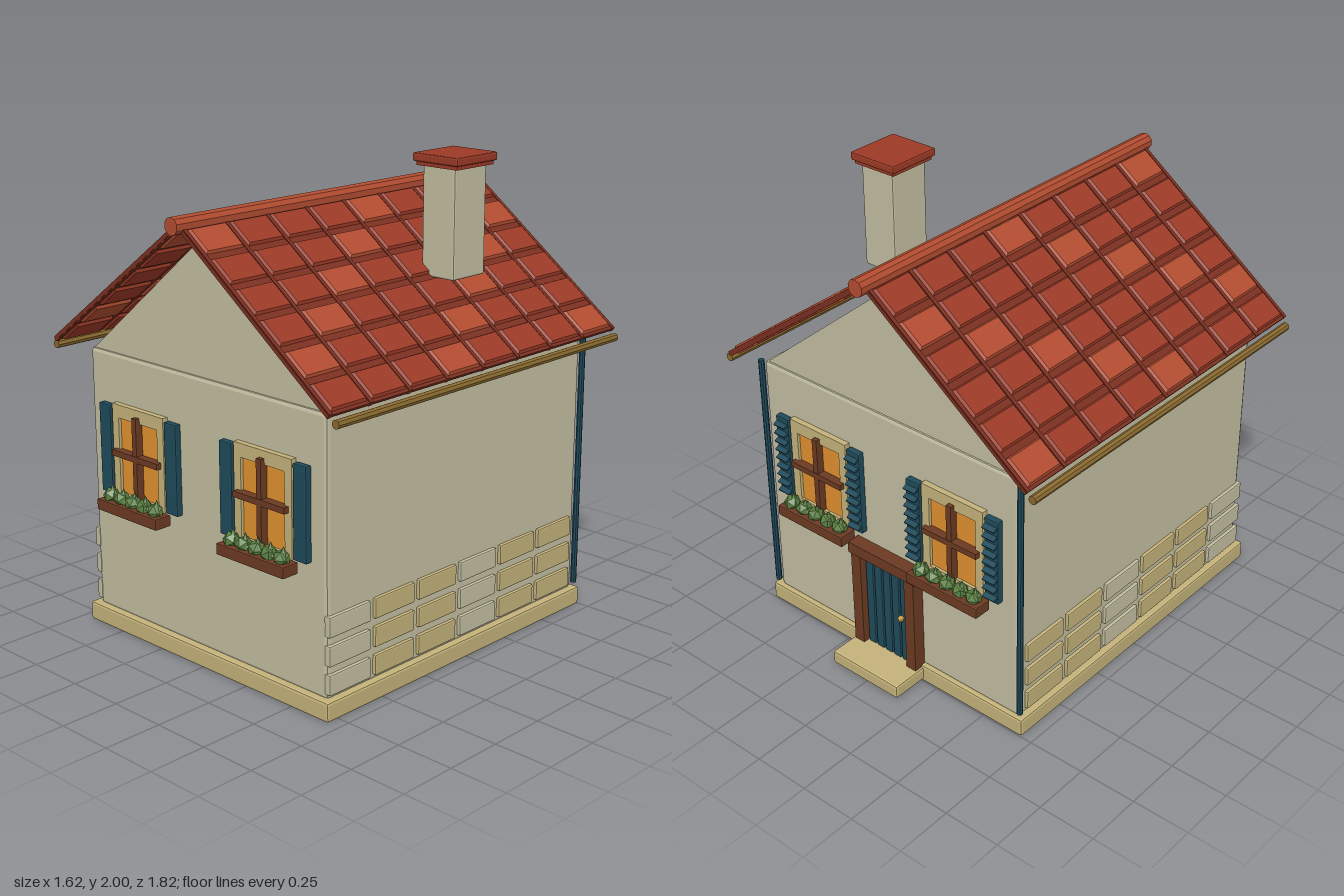
import * as THREE from 'three';
import { RoundedBoxGeometry } from 'three/addons/geometries/RoundedBoxGeometry.js';

const mat = (color) => new THREE.MeshStandardMaterial({ color, flatShading: true });
const M = {
  wall: mat(0xc2bda0), stone: mat(0xc4b27a), tile: mat(0x9c3a26), tileLight: mat(0xb24c30), tileDark: mat(0x7a2f20),
  teal: mat(0x1f4a5a), wood: mat(0x6b3a22), glass: mat(0xe0902f), gutter: mat(0x8a6a2f), leaf: mat(0x5a8040), brass: mat(0xc09a40),
};

function add(parent, name, geo, material, x = 0, y = 0, z = 0) {
  const mesh = new THREE.Mesh(geo, material);
  mesh.name = name;
  mesh.position.set(x, y, z);
  parent.add(mesh);
  return mesh;
}

// Box given by its limits, with an optional chamfer
function box(parent, name, material, [x0, x1], [y0, y1], [z0, z1], chamfer = 0) {
  const size = [x1 - x0, y1 - y0, z1 - z0];
  const geo = chamfer ? new RoundedBoxGeometry(...size, 1, chamfer) : new THREE.BoxGeometry(...size);
  return add(parent, name, geo, material, (x0 + x1) / 2, (y0 + y1) / 2, (z0 + z1) / 2);
}

function group(parent, name) {
  const g = new THREE.Group();
  g.name = name;
  parent.add(g);
  return g;
}

// Horizontal bar running from front to back
function barZ(parent, name, material, radius, x, y, z0, z1, sides) {
  const geo = new THREE.CylinderGeometry(radius, radius, z1 - z0, sides).rotateX(Math.PI / 2);
  return add(parent, name, geo, material, x, y, (z0 + z1) / 2);
}

// Window on the plane z = 0, facing +z
function buildWindow(parent, cx, louvers) {
  const w = group(parent, 'window');
  w.position.x = cx;

  // Frame with an opening
  const outline = new THREE.Shape([[-0.155, 0.6], [0.155, 0.6], [0.155, 0.995], [-0.155, 0.995]].map((p) => new THREE.Vector2(...p)));
  outline.holes.push(new THREE.Path([[-0.117, 0.62], [-0.117, 0.94], [0.117, 0.94], [0.117, 0.62]].map((p) => new THREE.Vector2(...p))));
  add(w, 'windowFrame', new THREE.ExtrudeGeometry(outline, { depth: 0.03, bevelEnabled: false }), M.stone, 0, 0, -0.005);
  box(w, 'windowPane', M.glass, [-0.12, 0.12], [0.61, 0.945], [-0.01, 0.012]);
  box(w, 'verticalBar', M.wood, [-0.0125, 0.0125], [0.6, 0.965], [0.01, 0.045]);
  box(w, 'horizontalBar', M.wood, [-0.138, 0.138], [0.783, 0.808], [0.01, 0.048]);

  // Shutters
  for (const s of [-1, 1]) {
    const c = s * 0.199;
    box(w, 'shutter', M.teal, [c - 0.035, c + 0.035], [0.605, 0.985], [0, 0.03], 0.006);
    for (let i = 0; louvers && i < 9; i++) {
      const slat = box(w, 'shutterSlat', M.teal, [c - 0.03, c + 0.03], [0, 0.008], [0.018, 0.05]);
      slat.position.y = 0.635 + i * 0.04;
      slat.rotation.x = 0.45;
    }
  }

  // Flower box with leafy plants
  box(w, 'flowerBox', M.wood, [-0.182, 0.182], [0.553, 0.6], [0.02, 0.1], 0.005);
  for (let i = 0; i < 5; i++) {
    const x = (i - 2) * 0.068;
    add(w, 'plant', new THREE.IcosahedronGeometry(0.036, 0), M.leaf, x, 0.614, 0.06).rotation.y = i * 1.3;
    add(w, 'plantTip', new THREE.ConeGeometry(0.026, 0.055, 5), M.leaf, x + 0.01, 0.638, 0.06);
  }
}

// Door at the centre of a facade, with frame and step
function buildDoor(parent) {
  const d = group(parent, 'door');
  box(d, 'doorPanel', M.teal, [-0.13, 0.13], [0.07, 0.52], [-0.01, 0.018]);
  for (let i = 0; i < 5; i++) {
    const c = (i - 2) * 0.047;
    box(d, 'doorPlank', M.teal, [c - 0.02, c + 0.02], [0.07, 0.515], [0.01, 0.032], 0.006);
  }
  for (const s of [-1, 1]) box(d, 'doorPost', M.wood, [s * 0.145 - 0.025, s * 0.145 + 0.025], [0.065, 0.54], [0, 0.055]);
  box(d, 'doorLintel', M.wood, [-0.18, 0.18], [0.51, 0.56], [0, 0.06]);
  add(d, 'doorKnob', new THREE.SphereGeometry(0.014, 8, 6), M.brass, 0.085, 0.29, 0.042);
  box(d, 'doorStep', M.stone, [-0.18, 0.18], [0.01, 0.07], [-0.02, 0.18], 0.01);
}

// Tile: a slab whose top and bottom faces are drawn in
function tileGeometry(length, thickness, width) {
  const geo = new THREE.BoxGeometry(length, thickness, width, 1, 2, 1);
  const p = geo.attributes.position;
  for (let i = 0; i < p.count; i++) {
    if (Math.abs(p.getY(i)) < 1e-4) continue;
    p.setX(i, p.getX(i) * (1 - 0.024 / length));
    p.setZ(i, p.getZ(i) * (1 - 0.024 / width));
  }
  geo.computeVertexNormals();
  return geo;
}

function buildRoofSlope(parent, side) {
  const slope = group(parent, side > 0 ? 'leftRoofSlope' : 'rightRoofSlope');
  slope.position.y = 1.8;
  slope.rotation.z = -side * Math.atan(0.74);
  const start = 0.022, pitchU = 0.1565, pitchZ = 0.21;
  const tile = tileGeometry(pitchU - 0.018, 0.036, pitchZ - 0.014);

  const edges = [side * start, side * (start + 6 * pitchU)].sort((a, b) => a - b);
  box(slope, 'roofDeck', M.tileDark, edges, [-0.007, 0.007], [-0.82, 0.88]);
  for (let row = 0; row < 6; row++) {
    for (let col = 0; col < 8; col++) {
      const light = (col - row + 9) % 4 === 0;
      add(slope, 'roofTile', tile, light ? M.tileLight : M.tile, side * (start + (row + 0.5) * pitchU), 0, -0.81 + (col + 0.5) * pitchZ);
    }
  }
  // Raised seams between the tile columns
  for (let col = 0; col <= 8; col++) {
    const z = -0.81 + col * pitchZ;
    box(slope, 'roofSeam', M.tileDark, edges, [-0.011, 0.011], [z - 0.008, z + 0.008]);
  }
  barZ(parent, 'gutter', M.gutter, 0.018, side * 0.79, 1.2, -0.805, 0.86, 8);
}

export function createModel() {
  const house = new THREE.Group();
  house.name = 'house';

  // Plinth, walls and gable
  box(house, 'plinth', M.stone, [-0.7, 0.7], [0, 0.08], [-0.75, 0.81], 0.01);
  box(house, 'walls', M.wall, [-0.67, 0.67], [0.07, 1.2], [-0.73, 0.78], 0.018);
  const gable = new THREE.Shape([[-0.66, 1.19], [0.66, 1.19], [0, 1.73]].map((p) => new THREE.Vector2(...p)));
  add(house, 'gable', new THREE.ExtrudeGeometry(gable, { depth: 1.49, bevelEnabled: false }), M.wall, 0, 0, -0.72);

  for (const side of [-1, 1]) {
    // Stone courses along the foot of the side walls
    for (let row = 0; row < 3; row++) {
      for (let col = 0; col < 6; col++) {
        const z = 0.67 - col * 0.25, y = 0.137 + row * 0.117;
        const material = col % 3 === 0 ? M.wall : M.stone;
        box(house, 'wallStone', material, [side * 0.67 - 0.015, side * 0.67 + 0.015], [y - 0.042, y + 0.042], [z - 0.112, z + 0.112], 0.006);
      }
    }
    // Drainpipe at the back corner
    add(house, 'drainpipe', new THREE.CylinderGeometry(0.013, 0.013, 1.1, 8), M.teal, side * 0.68, 0.65, -0.735);
    buildRoofSlope(house, side);
  }
  barZ(house, 'roofRidge', M.tileLight, 0.036, 0, 1.8, -0.855, 0.91, 10);

  // Front and back facades
  const front = group(house, 'frontFacade');
  front.position.z = 0.78;
  const back = group(house, 'backFacade');
  back.position.z = -0.73;
  back.rotation.y = Math.PI;
  for (const x of [-0.358, 0.358]) {
    buildWindow(front, x, false);
    buildWindow(back, x, true);
  }
  buildDoor(back);

  // Chimney
  box(house, 'chimney', M.wall, [0.35, 0.515], [1.51, 1.97], [-0.28, -0.09], 0.008);
  box(house, 'chimneyCap', M.tile, [0.318, 0.548], [1.965, 2], [-0.308, -0.062], 0.008);
  box(house, 'chimneyCollar', M.tile, [0.33, 0.536], [1.95, 1.97], [-0.295, -0.075]);
  return house;
}
